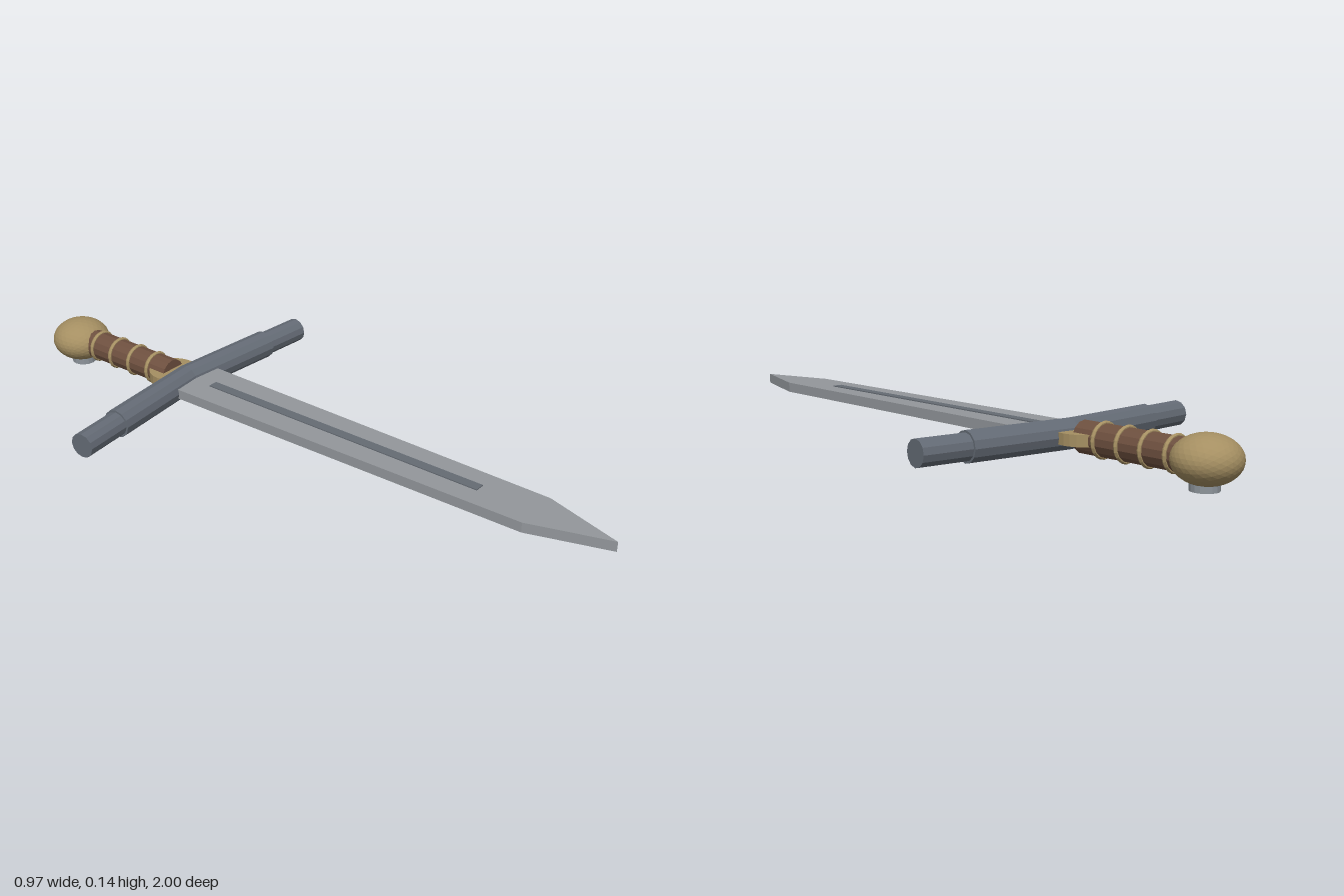
import * as THREE from 'three';

const MID = 0.077; // height of the sword's centre plane

function mat(name, color) {
  const m = new THREE.MeshStandardMaterial({ color, flatShading: true });
  m.name = name;
  return m;
}

export function createModel() {
  const steel = mat('bladeSteel', 0x93979b);
  const groove = mat('grooveSteel', 0x656b73);
  const iron = mat('guardIron', 0x646b75);
  const leather = mat('gripLeather', 0x6e503f);
  const brass = mat('brass', 0xa58f62);
  const pale = mat('rivetSteel', 0x8d949b);

  const sword = new THREE.Group();
  sword.name = 'sword';
  const add = (name, geometry, material, x = 0, y = MID, z = 0) => {
    const mesh = new THREE.Mesh(geometry, material);
    mesh.name = name;
    mesh.position.set(x, y, z);
    sword.add(mesh);
    return mesh;
  };

  // Blade: flat tapering outline with a pointed tip
  const outline = new THREE.Shape([
    [-0.09, -0.43], [0.09, -0.43], [0.073, 0.77], [0, 1], [-0.073, 0.77],
  ].map(([x, z]) => new THREE.Vector2(x, z)));
  const blade = new THREE.ExtrudeGeometry(outline, { depth: 0.03, bevelEnabled: false });
  blade.translate(0, 0, -0.015).rotateX(Math.PI / 2);
  add('blade', blade, steel);

  // Dark central strip, slightly proud of both blade faces
  add('fuller', new THREE.BoxGeometry(0.03, 0.036, 0.94), groove, 0, MID, 0.13);

  // Crossguard: cylinders along x, bent forward at the middle with a mitred joint
  const bentBar = (radius, halfLength) => {
    const g = new THREE.CylinderGeometry(radius, radius, halfLength * 2, 12, 2);
    g.rotateZ(Math.PI / 2);
    const p = g.attributes.position;
    const slope = 0.092;
    for (let i = 0; i < p.count; i++) {
      const x = p.getX(i), z = p.getZ(i);
      const side = Math.abs(x) < 1e-4 ? 0 : Math.sign(x);
      p.setX(i, x - side * slope * z);
      p.setZ(i, z + slope * Math.abs(x));
    }
    g.computeVertexNormals();
    return g;
  };
  add('guard', bentBar(0.043, 0.332), iron, 0, MID, -0.447);
  add('guardEnds', bentBar(0.037, 0.481), iron, 0, MID, -0.447);

  // Round brass collar plate behind the guard
  add('collar', new THREE.CylinderGeometry(0.074, 0.074, 0.032, 24), brass, 0, MID, -0.502);

  // Grip with four brass rings
  const grip = new THREE.CylinderGeometry(0.045, 0.045, 0.36, 14);
  grip.rotateX(Math.PI / 2);
  add('grip', grip, leather, 0, MID, -0.685);
  for (const z of [-0.577, -0.656, -0.735, -0.815]) {
    add('gripRing', new THREE.TorusGeometry(0.044, 0.007, 6, 20), brass, 0, MID, z);
  }

  // Flattened ball pommel with a round rivet underneath
  const pommel = new THREE.IcosahedronGeometry(0.09, 5);
  pommel.scale(1, 0.72, 1);
  add('pommel', pommel, brass, 0, MID, -0.91);
  add('pommelRivet', new THREE.CylinderGeometry(0.038, 0.038, 0.04, 16), pale, 0, 0.02, -0.905);

  return sword;
}
